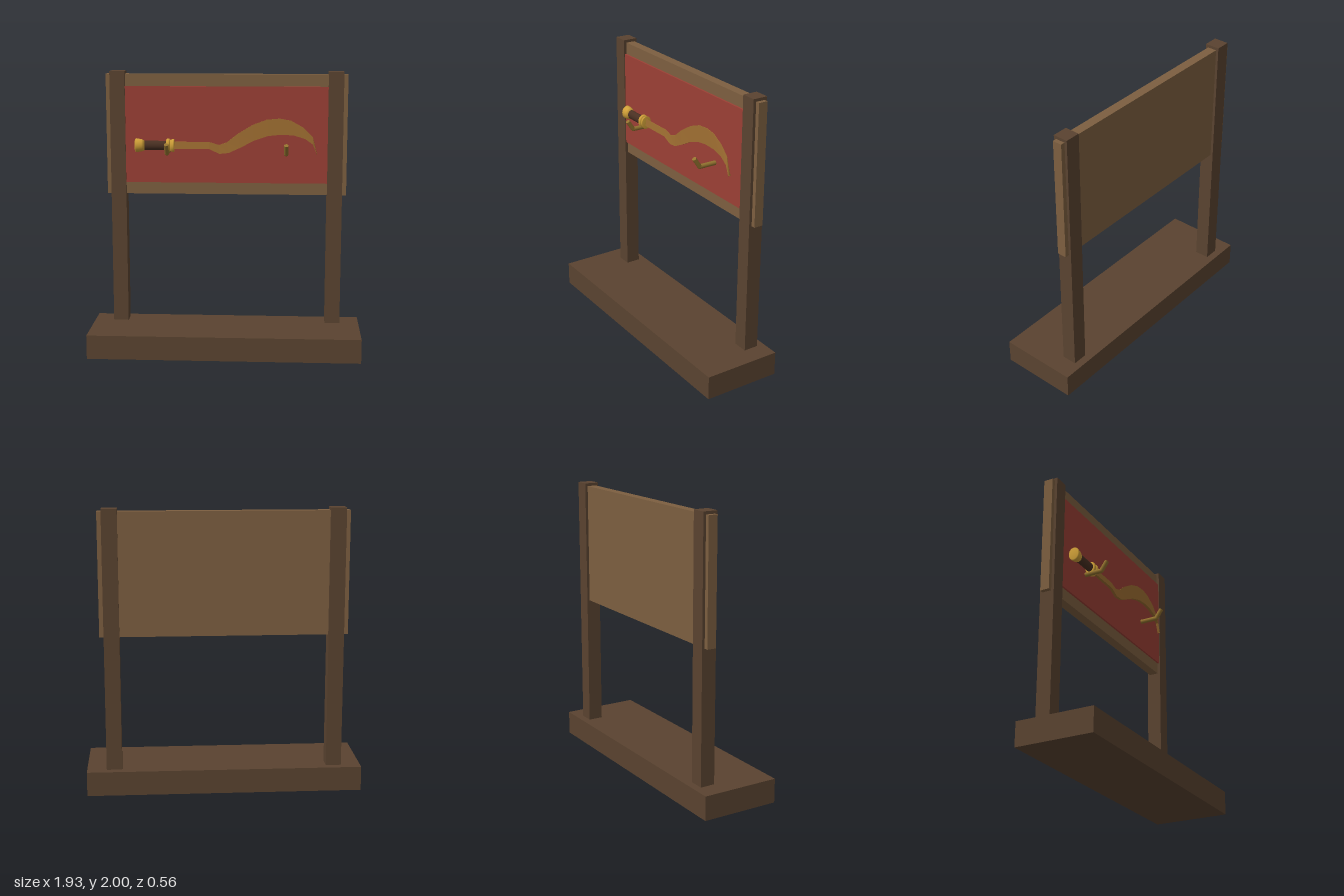
import * as THREE from 'three';

const mat = (color, flatShading = false) =>
  new THREE.MeshStandardMaterial({ color, flatShading });

export function createModel() {
  const root = new THREE.Group();
  const darkWood = mat(0x5a4330), lightWood = mat(0x7d5f40), cloth = mat(0x9c4035);
  const gold = mat(0xd0a038), brass = mat(0x94732f), leather = mat(0x4a3022);
  const steel = mat(0x9c6c30, true);

  const add = (name, geometry, material, parent = root) => {
    const mesh = new THREE.Mesh(geometry, material);
    mesh.name = name;
    parent.add(mesh);
    return mesh;
  };
  // Box given by its limits on each axis
  const box = (name, [x0, x1], [y0, y1], [z0, z1], material) =>
    add(name, new THREE.BoxGeometry(x1 - x0, y1 - y0, z1 - z0), material)
      .position.set((x0 + x1) / 2, (y0 + y1) / 2, (z0 + z1) / 2);

  // Stand
  box('base', [-0.967, 0.967], [0, 0.172], [-0.28, 0.28], darkWood);
  box('rightPost', [-0.83, -0.722], [0.172, 2], [-0.226, -0.12], darkWood);
  box('leftPost', [0.722, 0.83], [0.172, 2], [-0.226, -0.12], darkWood);
  box('backBoard', [-0.86, 0.86], [1.12, 1.98], [-0.207, -0.14], lightWood);
  box('clothPanel', [-0.725, 0.725], [1.205, 1.895], [-0.15, -0.126], cloth);

  // Bent pegs that carry the sword
  for (const [name, x] of [['rightHook', -0.413], ['leftHook', 0.428]]) {
    const path = new THREE.CurvePath();
    const p = [[1.434, -0.13], [1.434, 0], [1.5, 0.045]].map(([y, z]) => new THREE.Vector3(x, y, z));
    const hook = new THREE.Group();
    hook.name = name;
    root.add(hook);
    for (let i = 0; i < 2; i++) {
      const dir = p[i + 1].clone().sub(p[i]);
      const rod = add('hookRod', new THREE.CylinderGeometry(0.016, 0.016, dir.length(), 10), brass, hook);
      rod.position.copy(p[i]).addScaledVector(dir, 0.5);
      rod.quaternion.setFromUnitVectors(new THREE.Vector3(0, 1, 0), dir.normalize());
    }
    add('hookElbow', new THREE.SphereGeometry(0.016, 10, 8), brass, hook).position.copy(p[1]);
  }

  // Sword, lying along x
  const sword = new THREE.Group();
  sword.name = 'sword';
  sword.position.z = -0.087;
  root.add(sword);

  // Handle parts: oval turned profiles of [x, radius]
  const turned = (name, profile, material) => {
    const pts = profile.map(([x, r]) => new THREE.Vector2(r, x));
    const g = new THREE.LatheGeometry(pts, 20);
    g.rotateZ(-Math.PI / 2);
    g.scale(1, 1, 0.82);
    add(name, g, material, sword).position.y = 1.478;
  };
  turned('pommel', [[-0.648, 0], [-0.648, 0.045], [-0.64, 0.05], [-0.6, 0.044], [-0.58, 0.034], [-0.58, 0]], gold);
  turned('grip', [[-0.585, 0.033], [-0.42, 0.033]], leather);
  turned('collar', [[-0.426, 0], [-0.426, 0.042], [-0.418, 0.048], [-0.404, 0.048], [-0.396, 0.04], [-0.396, 0]], gold);
  turned('guard', [[-0.398, 0], [-0.398, 0.04], [-0.372, 0.048], [-0.368, 0.044], [-0.368, 0]], gold);

  // Curved blade: stations of [outer x, outer y, inner x, inner y], wedge section
  const stations = [
    [-0.38, 1.505, -0.38, 1.455], [-0.12, 1.505, -0.12, 1.455], [-0.05, 1.484, -0.045, 1.421],
    [0.005, 1.502, 0.02, 1.428], [0.08, 1.562, 0.1, 1.465], [0.19, 1.629, 0.2, 1.517],
    [0.29, 1.666, 0.3, 1.551], [0.38, 1.674, 0.39, 1.561], [0.46, 1.66, 0.48, 1.556],
    [0.55, 1.61, 0.56, 1.532], [0.615, 1.545, 0.615, 1.493], [0.646, 1.425, 0.644, 1.422],
  ];
  const pos = [], idx = [], thin = 0.002, thick = 0.01;
  for (const [ox, oy, ix, iy] of stations)
    pos.push(ox, oy, thin, ox, oy, -thin, ix, iy, -thick, ix, iy, thick);
  for (let s = 0; s < stations.length - 1; s++)
    for (let k = 0; k < 4; k++) {
      const a = s * 4 + k, b = s * 4 + (k + 1) % 4;
      idx.push(a, a + 4, b, b, a + 4, b + 4);
    }
  const e = pos.length / 3 - 4;
  idx.push(0, 1, 2, 0, 2, 3, e, e + 2, e + 1, e, e + 3, e + 2);
  const blade = new THREE.BufferGeometry();
  blade.setAttribute('position', new THREE.Float32BufferAttribute(pos, 3));
  blade.setIndex(idx);
  blade.computeVertexNormals();
  steel.side = THREE.DoubleSide;
  add('blade', blade, steel, sword);

  return root;
}
